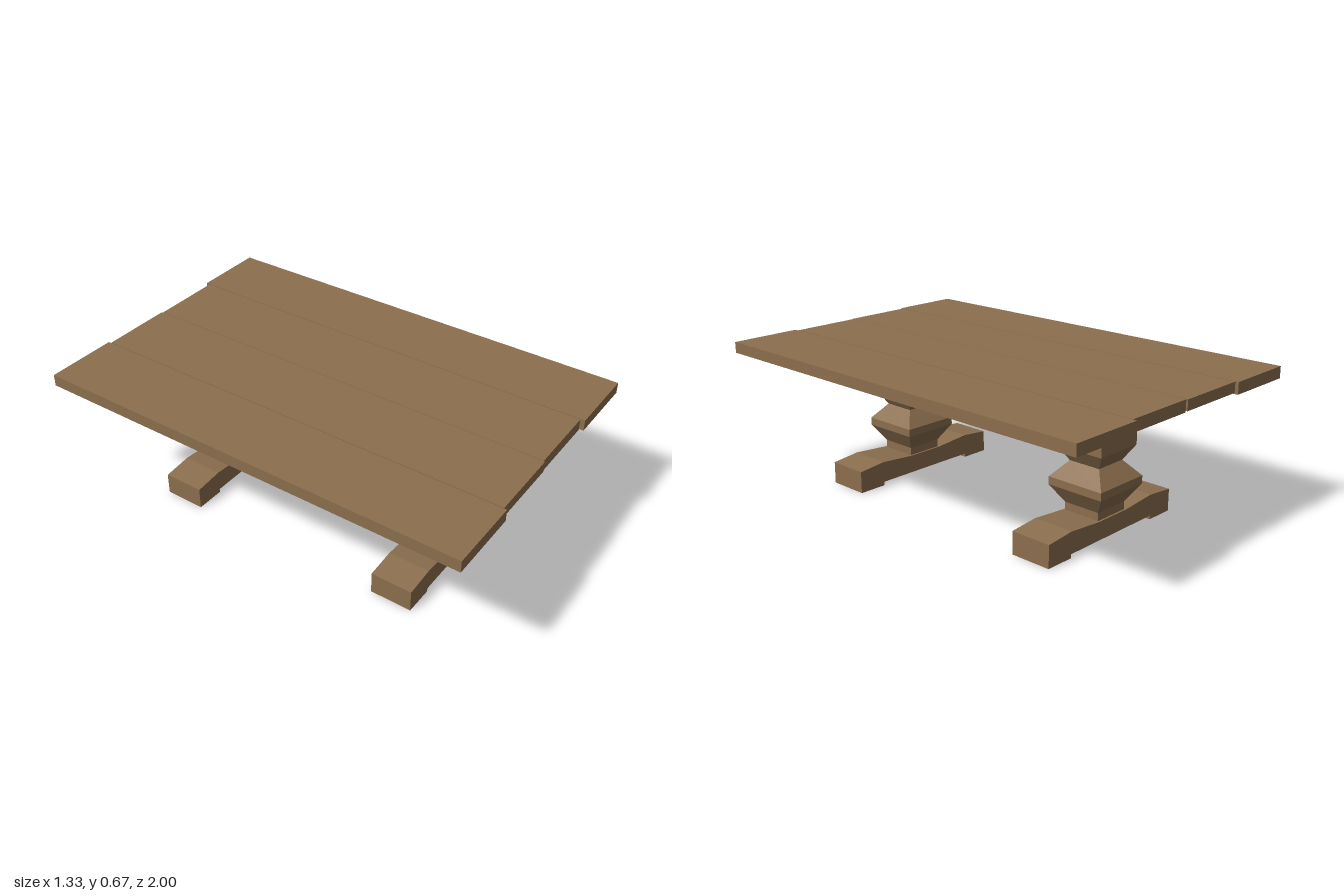
import * as THREE from 'three';

const wood = new THREE.MeshStandardMaterial({ color: 0x8c6f4e, flatShading: true });

function add(parent, name, geometry, x = 0, y = 0, z = 0) {
  const mesh = new THREE.Mesh(geometry, wood);
  mesh.name = name;
  mesh.position.set(x, y, z);
  parent.add(mesh);
}

// Side outline in x/y, extruded along z and centred on it
function slab(points, depth) {
  const shape = new THREE.Shape(points.map(([x, y]) => new THREE.Vector2(x, y)));
  return new THREE.ExtrudeGeometry(shape, { depth, bevelEnabled: false }).translate(0, 0, -depth / 2);
}

// Closes the right half of an outline (bottom to top) with its mirror image
const mirrored = (half) => [...half, ...half.map(([x, y]) => [-x, y]).reverse()];

export function createModel() {
  const table = new THREE.Group();
  table.name = 'trestleTable';

  // Tabletop planks: left edge, right edge, underside, half length
  const planks = [
    [-0.667, -0.338, 0.615, 1],
    [-0.334, -0.003, 0.621, 0.987],
    [0, 0.33, 0.616, 0.981],
    [0.334, 0.667, 0.618, 1],
  ];
  planks.forEach(([x0, x1, y0, half], i) => {
    const top = 0.668;
    add(table, `plank${i + 1}`, new THREE.BoxGeometry(x1 - x0, top - y0, half * 2),
      (x0 + x1) / 2, (top + y0) / 2, 0);
  });

  // Square pedestal profile: half width, height
  const profile = [
    [0.087, 0.095], [0.087, 0.136], [0.137, 0.215], [0.137, 0.25], [0.076, 0.32],
    [0.116, 0.386], [0.116, 0.46], [0.097, 0.483], [0.107, 0.502], [0.077, 0.576],
  ].map(([w, y]) => new THREE.Vector2(w * Math.SQRT2, y));

  const foot = mirrored([
    [0.265, 0.017], [0.265, 0], [0.4, 0], [0.4, 0.102], [0.265, 0.115], [0.09, 0.1],
  ]);
  const bracket = mirrored([[0.1, 0.572], [0.413, 0.602], [0.413, 0.62]]);

  // Two identical trestles
  for (const side of [1, -1]) {
    const trestle = new THREE.Group();
    trestle.name = side > 0 ? 'frontTrestle' : 'backTrestle';
    trestle.position.z = side * 0.565;
    add(trestle, 'foot', slab(foot, 0.192));
    add(trestle, 'pedestal', new THREE.LatheGeometry(profile, 4, Math.PI / 4));
    add(trestle, 'bracket', slab(bracket, 0.192));
    table.add(trestle);
  }
  return table;
}
